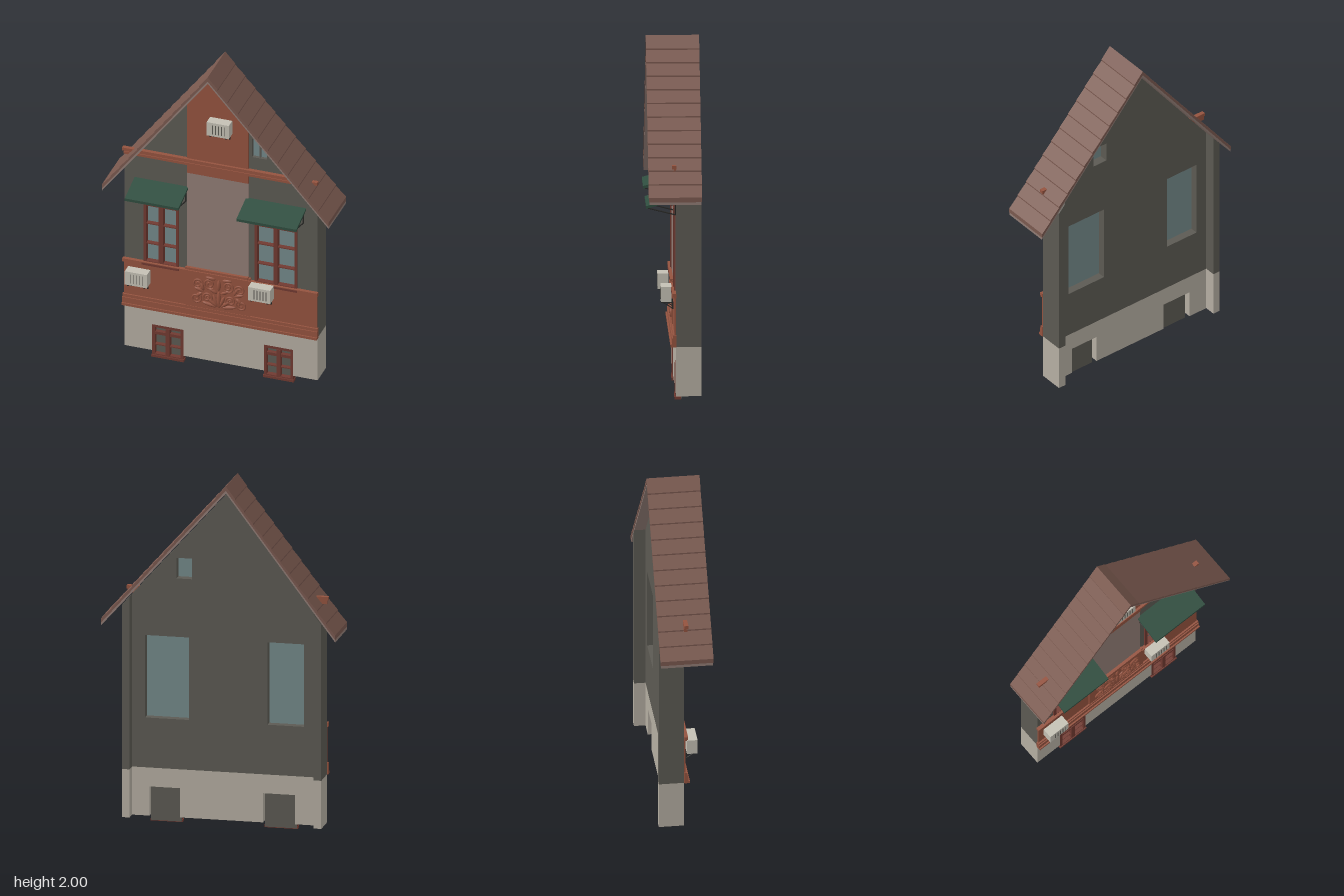
import * as THREE from 'three';

const mat = (name, color) => {
  const m = new THREE.MeshStandardMaterial({ color });
  m.name = name;
  return m;
};

export function createModel() {
  const M = {
    terracotta: mat('terracotta', 0x94533f),
    wall: mat('grey plaster', 0x5c5a53),
    stone: mat('pale stone', 0xb5aea2),
    roof: mat('roof brown', 0x7a594f),
    mauve: mat('mauve', 0x917c75),
    green: mat('awning green', 0x2f4d3f),
    glass: mat('glass', 0x74898a),
    frame: mat('window red', 0x713a31),
    white: mat('unit white', 0xc4c0b4),
    iron: mat('iron', 0x2a2a28),
  };
  const house = new THREE.Group();
  house.name = 'gabledHouseFront';

  const add = (parent, name, geo, m) => {
    const mesh = new THREE.Mesh(geo, m);
    mesh.name = name;
    parent.add(mesh);
    return mesh;
  };
  // Box given by its limits on each axis
  const box = (parent, name, m, x0, x1, y0, y1, z0, z1) => {
    const b = add(parent, name, new THREE.BoxGeometry(x1 - x0, y1 - y0, z1 - z0), m);
    b.position.set((x0 + x1) / 2, (y0 + y1) / 2, (z0 + z1) / 2);
    return b;
  };
  const group = (name) => {
    const g = new THREE.Group();
    g.name = name;
    house.add(g);
    return g;
  };
  const path = (pts, Type = THREE.Shape) => new Type(pts.map(([x, y]) => new THREE.Vector2(x, y)));
  const slab = (parent, name, m, pts, z0, z1, holes = []) => {
    const s = path(pts);
    s.holes = holes.map(([x0, x1, y0, y1]) =>
      path([[x0, y0], [x0, y1], [x1, y1], [x1, y0]], THREE.Path));
    const geo = new THREE.ExtrudeGeometry(s, { depth: z1 - z0, bevelEnabled: false });
    return add(parent, name, geo.translate(0, 0, z0), m);
  };
  const rod = (parent, name, a, b, r = 0.004) => {
    const va = new THREE.Vector3(...a), vb = new THREE.Vector3(...b);
    return add(parent, name, new THREE.TubeGeometry(new THREE.LineCurve3(va, vb), 1, r, 6), M.iron);
  };

  // Roof line shared by the roof and the walls
  const ridge = -0.045;
  const roofY = (x) => 2 - (x > ridge ? (x - ridge) * 1.125 : (ridge - x) * 1.317);
  const under = (x) => roofY(x) - 0.05;
  const L = -0.595, R = 0.555, BACK = -0.155, INNER = -0.09, FACE = -0.012;

  // Walls with window openings
  const windows = [[-0.48, -0.27, 0.61, 1.09], [0.182, 0.435, 0.61, 1.09]];
  const attic = [0.165, 0.255, 1.43, 1.55];
  slab(house, 'mainWall', M.wall,
    [[L, 0.32], [R, 0.32], [R, under(R)], [ridge, under(ridge)], [L, under(L)]],
    INNER, FACE, [...windows, attic]);
  const cellars = [[-0.43, -0.245], [0.235, 0.41]];
  const plinth = [[L, 0.04]];
  for (const [a, b] of cellars) plinth.push([a, 0.04], [a, 0.21], [b, 0.21], [b, 0.04]);
  plinth.push([R, 0.04], [R, 0.32], [L, 0.32]);
  slab(house, 'plinth', M.stone, plinth, INNER, FACE);
  for (const [a, b] of [[L, L + 0.045], [R - 0.045, R]]) {
    slab(house, 'sideReturn', M.wall, [[a, 0.32], [b, 0.32], [b, under(b)], [a, under(a)]], BACK, INNER);
    box(house, 'plinthReturn', M.stone, a, b, 0.04, 0.32, BACK, INNER);
  }

  // Roof of overlapping courses over a thin soffit
  const eaves = [-0.675, 0.675];
  const courses = (end) => {
    const pts = [];
    for (let i = 0; i < 12; i++) {
      const x0 = ridge + (end - ridge) * i / 12, x1 = ridge + (end - ridge) * (i + 1) / 12;
      pts.push([x0, roofY(x0) - (i ? 0.008 : 0)], [x1, roofY(x1)]);
    }
    return pts;
  };
  const band = (name, m, d0, d1, z0, z1, top) => slab(house, name, m, [
    ...(top || [[eaves[0], roofY(eaves[0]) - d0], [ridge, 2 - d0], [eaves[1], roofY(eaves[1]) - d0]]),
    [eaves[1], roofY(eaves[1]) - d1], [ridge, 2 - d1], [eaves[0], roofY(eaves[0]) - d1]], z0, z1);
  band('roofCourses', M.roof, 0, 0.026, BACK, 0.145,
    [...courses(eaves[0]).reverse(), ...courses(eaves[1]).slice(1)]);
  band('soffit', M.mauve, 0.026, 0.042, BACK + 0.003, 0.142);

  // Central bay: terracotta gable above a mauve panel
  slab(house, 'gablePanel', M.terracotta,
    [[-0.22, 1.255], [0.145, 1.255], [0.145, under(0.145)], [ridge, under(ridge)], [-0.22, under(-0.22)]],
    FACE, -0.002);
  box(house, 'centrePanel', M.mauve, -0.22, 0.145, 0.63, 1.255, FACE, -0.005);

  // Cornice and lower band with mouldings
  box(house, 'corniceLower', M.terracotta, L, 0.555, 1.31, 1.325, FACE, 0.006);
  box(house, 'corniceUpper', M.terracotta, -0.602, 0.56, 1.333, 1.352, FACE, 0.012);
  box(house, 'corniceCore', M.terracotta, L, 0.555, 1.325, 1.333, FACE, 0.001);
  box(house, 'lowerBand', M.terracotta, L, R, 0.32, 0.61, FACE, -0.003);
  for (const [y0, y1, z] of [[0.32, 0.335, 0.02], [0.335, 0.37, 0.012], [0.37, 0.388, 0.006],
    [0.597, 0.605, 0.004], [0.605, 0.622, 0.01]])
    box(house, 'bandMoulding', M.terracotta, -0.602, 0.56, y0, y1, FACE, z);
  box(house, 'ornamentPanel', M.terracotta, -0.23, 0.16, 0.388, 0.635, FACE, 0.003);
  box(house, 'panelLedge', M.terracotta, -0.222, 0.147, 0.628, 0.642, FACE, 0.012);

  // Mirrored scroll and leaf relief
  const relief = group('scrollRelief');
  relief.position.set(-0.027, 0.5, 0.005);
  const leaf = (x, y, len, ang, w = 0.011) => {
    const m = add(relief, 'leaf', new THREE.SphereGeometry(1, 10, 6), M.terracotta);
    m.scale.set(len / 2, w, 0.009);
    m.rotation.z = ang;
    m.position.set(x + Math.cos(ang) * len / 2, y + Math.sin(ang) * len / 2, 0);
  };
  for (const s of [-1, 1]) {
    for (const [cx, cy, r, start, dir] of [[0.055, 0.055, 0.036, 4, 1], [0.125, 0.045, 0.034, 4.2, -1],
      [0.135, -0.05, 0.034, 2, 1], [0.07, -0.035, 0.03, 3.6, -1]]) {
      const pts = [];
      for (let i = 0; i <= 20; i++) {
        const a = start + dir * i * 0.5, q = r * (1 - i / 25);
        pts.push(new THREE.Vector3(s * (cx + q * Math.cos(a)), cy + q * Math.sin(a), 0.002));
      }
      add(relief, 'scroll', new THREE.TubeGeometry(new THREE.CatmullRomCurve3(pts), 40, 0.0055, 6), M.terracotta);
    }
    for (const [x, y, len, ang] of [[0.005, -0.085, 0.08, 1.2], [0.01, -0.085, 0.08, 0.7], [0.015, -0.088, 0.09, 0.2],
      [0.09, 0.0, 0.06, 0.3], [0.09, 0.005, 0.05, 1.2], [0.1, -0.01, 0.05, -0.7], [0.01, 0.0, 0.06, 0.5], [0.02, 0.09, 0.06, 0.1]])
      leaf(s * x, y, len, s > 0 ? ang : Math.PI - ang);
  }
  leaf(0, -0.095, 0.11, Math.PI / 2, 0.013);
  leaf(0, 0.02, 0.07, Math.PI / 2, 0.012);

  // Frame, mullion and glazing bars filling one opening
  const casement = (name, [x0, x1, y0, y1], pane, bars, z0, z1, t = 0.016) => {
    const g = group(name), mid = (x0 + x1) / 2;
    box(g, 'pane', pane, x0, x1, y0, y1, z0 - 0.008, z0);
    for (const x of [x0, x1 - t]) box(g, 'jamb', M.frame, x, x + t, y0, y1, z0, z1);
    for (const y of [y0, y1 - t]) box(g, 'rail', M.frame, x0 + t, x1 - t, y, y + t, z0, z1);
    box(g, 'mullion', M.frame, mid - 0.012, mid + 0.012, y0 + t, y1 - t, z0, z1 + 0.004);
    bars.forEach((y, i) => {
      const h = i ? 0.003 : 0.009;
      box(g, 'glazingBar', M.frame, x0 + t, x1 - t, y - h, y + h, z0, z1 - 0.004);
    });
    return g;
  };
  for (const w of windows) {
    const g = casement('mainWindow', w, M.glass, [0.995, 0.87, 0.74], -0.036, -0.004);
    box(g, 'sill', M.frame, w[0] - 0.006, w[1] + 0.006, 0.605, 0.618, -0.036, 0.012);
  }
  for (const [a, b] of cellars) {
    const g = casement('cellarWindow', [a, b, 0.005, 0.21], M.wall, [0.155, 0.08], -0.04, -0.012);
    box(g, 'sill', M.frame, a - 0.004, b + 0.004, 0, 0.014, -0.042, -0.006);
  }
  const atticWindow = group('atticWindow');
  box(atticWindow, 'pane', M.glass, ...attic, -0.04, -0.032);
  box(atticWindow, 'mullion', M.wall, 0.206, 0.214, 1.43, 1.55, -0.032, -0.02);

  // Sloping awnings on iron struts
  for (const [a, b] of [[-0.535, -0.215], [0.13, 0.487]]) {
    const g = group('awning');
    const canopy = slab(g, 'canopy', M.green,
      [[0.012, 1.146], [-0.155, 1.096], [-0.155, 1.112], [0.012, 1.158]], a, b);
    canopy.geometry.rotateY(Math.PI / 2);
    // the profile now runs along z, so slide nothing further
    for (const x of [a + 0.015, (a + b) / 2, b - 0.015]) {
      rod(g, 'strut', [x, 1.06, -0.01], [x, 1.1, 0.15]);
      rod(g, 'arm', [x, 1.06, -0.008], [x, 1.145, -0.008]);
    }
  }

  // Air conditioning units on wall brackets
  for (const [x, y] of [[-0.5, 0.49], [0.235, 0.535], [-0.012, 1.57]]) {
    const g = group('airConditioner');
    box(g, 'casing', M.white, x - 0.066, x + 0.066, y, y + 0.087, 0.008, 0.068);
    for (let i = 0; i < 5; i++) {
      const sx = x - 0.03 + i * 0.018;
      box(g, 'grilleSlot', M.wall, sx - 0.002, sx + 0.002, y + 0.014, y + 0.073, 0.067, 0.07);
    }
    for (const s of [-0.048, 0.048]) {
      box(g, 'bracketArm', M.iron, x + s - 0.004, x + s + 0.004, y - 0.007, y, -0.004, 0.066);
      box(g, 'bracketPost', M.iron, x + s - 0.004, x + s + 0.004, y - 0.042, y, -0.004, 0.006);
      rod(g, 'bracketBrace', [x + s, y - 0.038, 0.002], [x + s, y - 0.004, 0.055], 0.003);
    }
  }
  return house;
}
